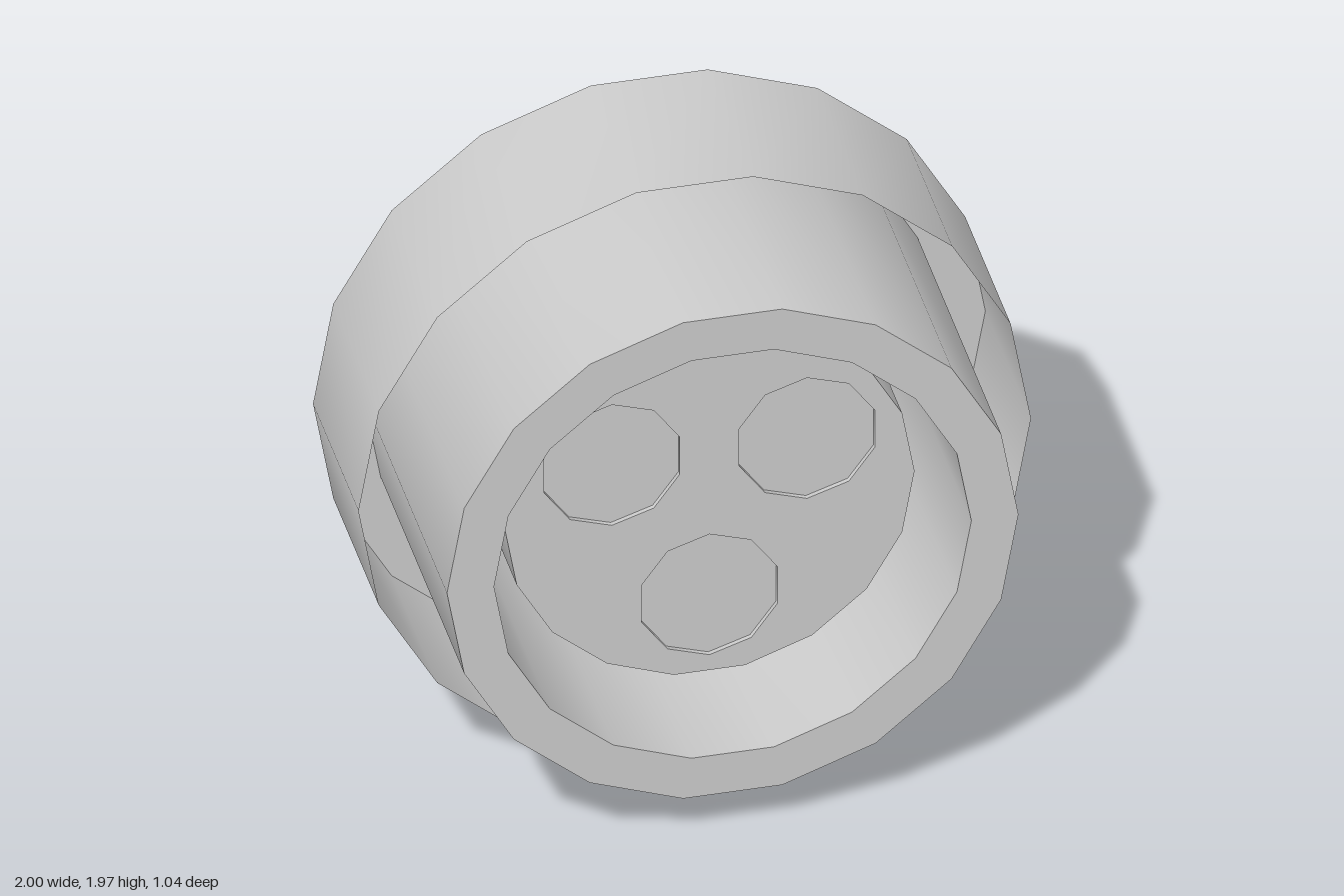
import * as THREE from 'three';
import { toCreasedNormals } from 'three/addons/utils/BufferGeometryUtils.js';

const SIDES = 18;
const PIN_SIDES = 10;
const CENTRE_Y = 0.985;
const PLATE_Z = 0.235;   // front of the contact plate
const PIN_R = 0.212;

const material = new THREE.MeshStandardMaterial({ color: 0xcccccc, side: THREE.DoubleSide });

function part(name, geometry) {
  const mesh = new THREE.Mesh(geometry, material);
  mesh.name = name;
  return mesh;
}

// Thin shell turned about the z axis from [radius, z] pairs
function turned(profile, sides, spin = 0) {
  const points = profile.map(([r, z]) => new THREE.Vector2(r, z));
  const geometry = new THREE.LatheGeometry(points, sides);
  geometry.rotateX(Math.PI / 2).rotateZ(spin);
  return toCreasedNormals(geometry, 0.8);
}

// Regular polygon as a list of points
function polygon(radius, sides, start, cx = 0, cy = 0) {
  return Array.from({ length: sides }, (_, i) => {
    const a = start + (i / sides) * Math.PI * 2;
    return new THREE.Vector2(cx + radius * Math.cos(a), cy + radius * Math.sin(a));
  });
}

export function createModel() {
  const model = new THREE.Group();
  model.name = 'connector';
  const body = new THREE.Group();
  body.name = 'connectorBody';
  body.position.y = CENTRE_Y;
  model.add(body);

  // Nested shells, folded back and forth: each has a wall and a flat rim
  const shells = {
    outerCollar: [[1, 0.055], [1, -0.505], [0.85, -0.505]],
    frontSleeve: [[0.85, -0.505], [0.85, 0.52], [0.71, 0.52]],
    frontBore: [[0.71, 0.52], [0.71, -0.52], [0.61, -0.52]],
    rearCup: [[0.61, -0.52], [0.61, PLATE_Z]],
  };
  for (const [name, profile] of Object.entries(shells)) {
    body.add(part(name, turned(profile, SIDES, Math.PI / 2)));
  }

  // Contact plate with three pin holes
  const pinCentres = [90, 210, 330].map((deg) => {
    const a = THREE.MathUtils.degToRad(deg + 180);
    return new THREE.Vector2(0.335 * Math.cos(a), 0.335 * Math.sin(a));
  });
  const plate = new THREE.Shape(polygon(0.61, SIDES, 0));
  for (const c of pinCentres) {
    plate.holes.push(new THREE.Path(polygon(PIN_R, PIN_SIDES, Math.PI / 2, c.x, c.y)));
  }
  const plateGeometry = new THREE.ShapeGeometry(plate);
  plateGeometry.translate(0, 0, PLATE_Z);
  body.add(part('contactPlate', plateGeometry));

  // Pins reaching back from the plate, each with a slightly sunken front face
  for (const c of pinCentres) {
    const pin = new THREE.Group();
    pin.name = 'pin';
    pin.position.set(c.x, c.y, 0);
    pin.add(part('pinBarrel', turned([[PIN_R, PLATE_Z], [PIN_R, -0.085], [0, -0.085]], PIN_SIDES)));
    pin.add(part('pinFace', turned([[PIN_R, PLATE_Z - 0.015], [0, PLATE_Z - 0.015]], PIN_SIDES)));
    body.add(pin);
  }

  return model;
}
